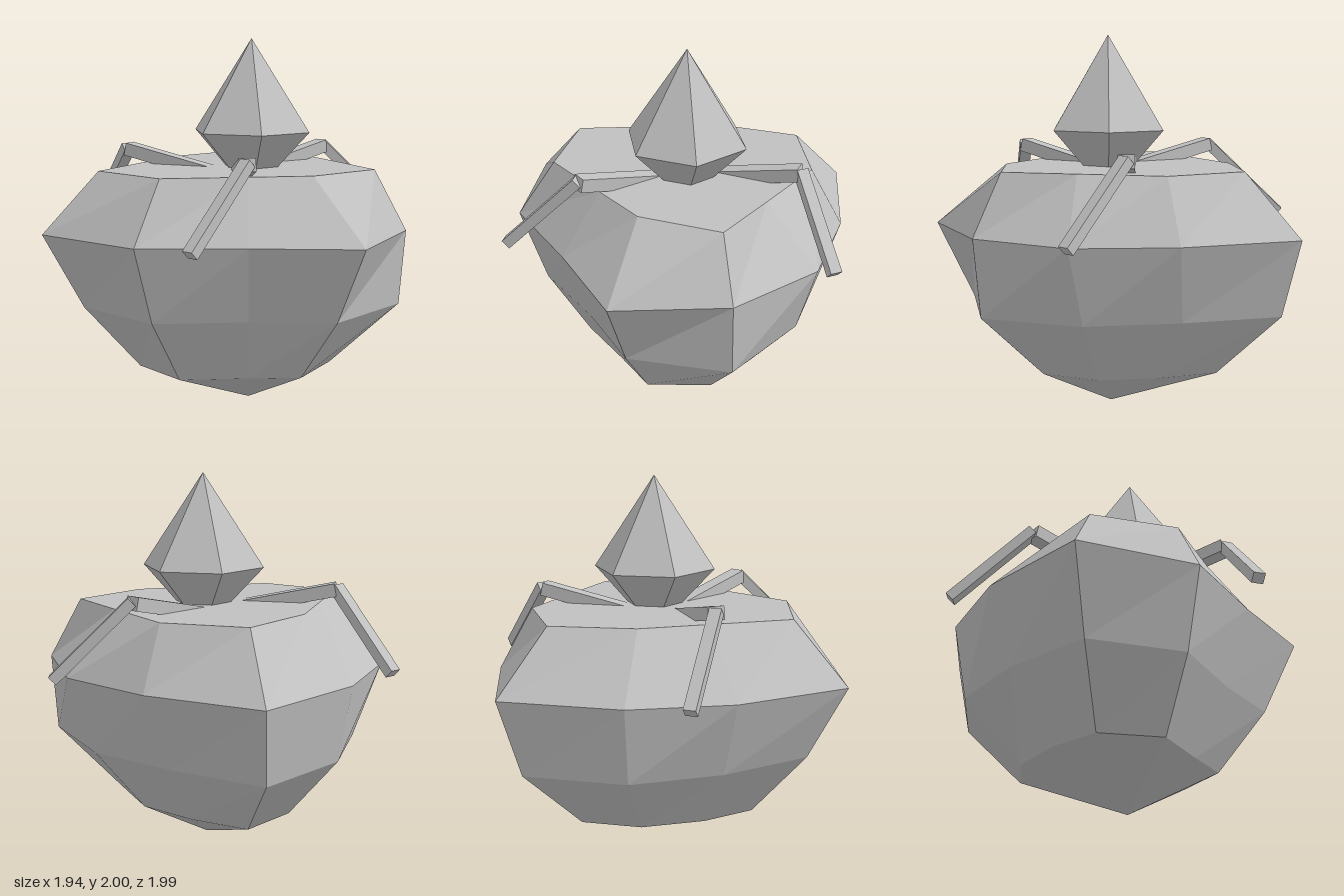
import * as THREE from 'three';

const stone = new THREE.MeshStandardMaterial({ color: 0xc0c0c0 });
stone.name = 'stone grey';

// Irregular ten-sided body: rings of [x, z] corners, counterclockwise from +x
const rings = [
  { y: 0.235, p: [[0.5, -0.04], [0.38, -0.36], [0.1, -0.48], [-0.22, -0.45], [-0.53, -0.36],
    [-0.54, -0.04], [-0.4, 0.27], [-0.21, 0.5], [0.13, 0.48], [0.33, 0.19]] },
  { y: 0.59, p: [[0.77, -0.04], [0.68, -0.58], [0.17, -0.76], [-0.32, -0.7], [-0.83, -0.58],
    [-0.85, -0.04], [-0.63, 0.4], [-0.3, 0.79], [0.205, 0.7], [0.48, 0.3]] },
  { y: 0.995, p: [[0.963, -0.037], [0.714, -0.587], [0.238, -0.873], [-0.296, -0.857], [-0.905, -0.677],
    [-0.926, -0.037], [-0.75, 0.476], [-0.37, 0.99], [0.249, 0.83], [0.59, 0.39]] },
  { y: 1.315, p: [[0.582, -0.037], [0.577, -0.481], [0.196, -0.579], [-0.243, -0.688], [-0.645, -0.487],
    [-0.62, -0.037], [-0.457, 0.31], [-0.275, 0.7], [0.185, 0.63], [0.412, 0.25]] },
];

function bodyGeometry() {
  const pos = [];
  const n = 10;
  const at = (r, k) => [rings[r].p[k % n][0], rings[r].y, rings[r].p[k % n][1]];
  const tri = (a, b, c) => pos.push(...a, ...b, ...c);
  const bottom = [0.02, 0, -0.075];
  const top = [0.02, 1.315, -0.04];
  for (let k = 0; k < n; k++) {
    tri(bottom, at(0, k + 1), at(0, k));
    for (let r = 0; r < 3; r++) {
      tri(at(r, k), at(r, k + 1), at(r + 1, k + 1));
      tri(at(r, k), at(r + 1, k + 1), at(r + 1, k));
    }
    tri(top, at(3, k), at(3, k + 1));
  }
  const g = new THREE.BufferGeometry();
  g.setAttribute('position', new THREE.Float32BufferAttribute(pos, 3));
  g.computeVertexNormals();
  return g;
}

function flatMesh(geometry, name) {
  const g = geometry.index ? geometry.toNonIndexed() : geometry;
  g.computeVertexNormals();
  const m = new THREE.Mesh(g, stone);
  m.name = name;
  return m;
}

// Square bar between two points
function bar(a, b, width, height, name) {
  const from = new THREE.Vector3(...a);
  const to = new THREE.Vector3(...b);
  const m = flatMesh(new THREE.BoxGeometry(width, height, from.distanceTo(to)), name);
  m.position.copy(from).add(to).multiplyScalar(0.5);
  m.lookAt(to);
  return m;
}

export function createModel() {
  const model = new THREE.Group();
  model.name = 'crystalBoulder';
  model.add(flatMesh(bodyGeometry(), 'body'));

  // Six-sided crystal
  const crystal = new THREE.Group();
  crystal.name = 'crystal';
  const point = flatMesh(new THREE.CylinderGeometry(0, 0.33, 0.495, 6, 1, true), 'crystalPoint');
  point.position.y = 1.7525;
  const base = flatMesh(new THREE.CylinderGeometry(0.33, 0.14, 0.205, 6, 1), 'crystalBase');
  base.position.y = 1.4025;
  crystal.add(point, base);
  crystal.position.set(0.035, 0, -0.08);
  model.add(crystal);

  // Three bent legs: hip, knee, foot
  const legs = [
    ['leftLeg', [0.1, 1.28, 0.06], [0.5, 1.39, 0.325], [0.565, 1.0, 0.725]],
    ['rightLeg', [-0.1, 1.28, 0.1], [-0.54, 1.39, 0.34], [-0.95, 1.005, 0.28]],
    ['backLeg', [-0.065, 1.28, -0.22], [-0.043, 1.385, -0.68], [0.245, 1.0, -0.96]],
  ];
  for (const [name, hip, knee, foot] of legs) {
    const leg = new THREE.Group();
    leg.name = name;
    const kneeTop = [knee[0], knee[1] + 0.01, knee[2]];
    leg.add(bar(hip, knee, 0.085, 0.07, 'upperLeg'), bar(kneeTop, foot, 0.063, 0.055, 'lowerLeg'));
    model.add(leg);
  }
  return model;
}
